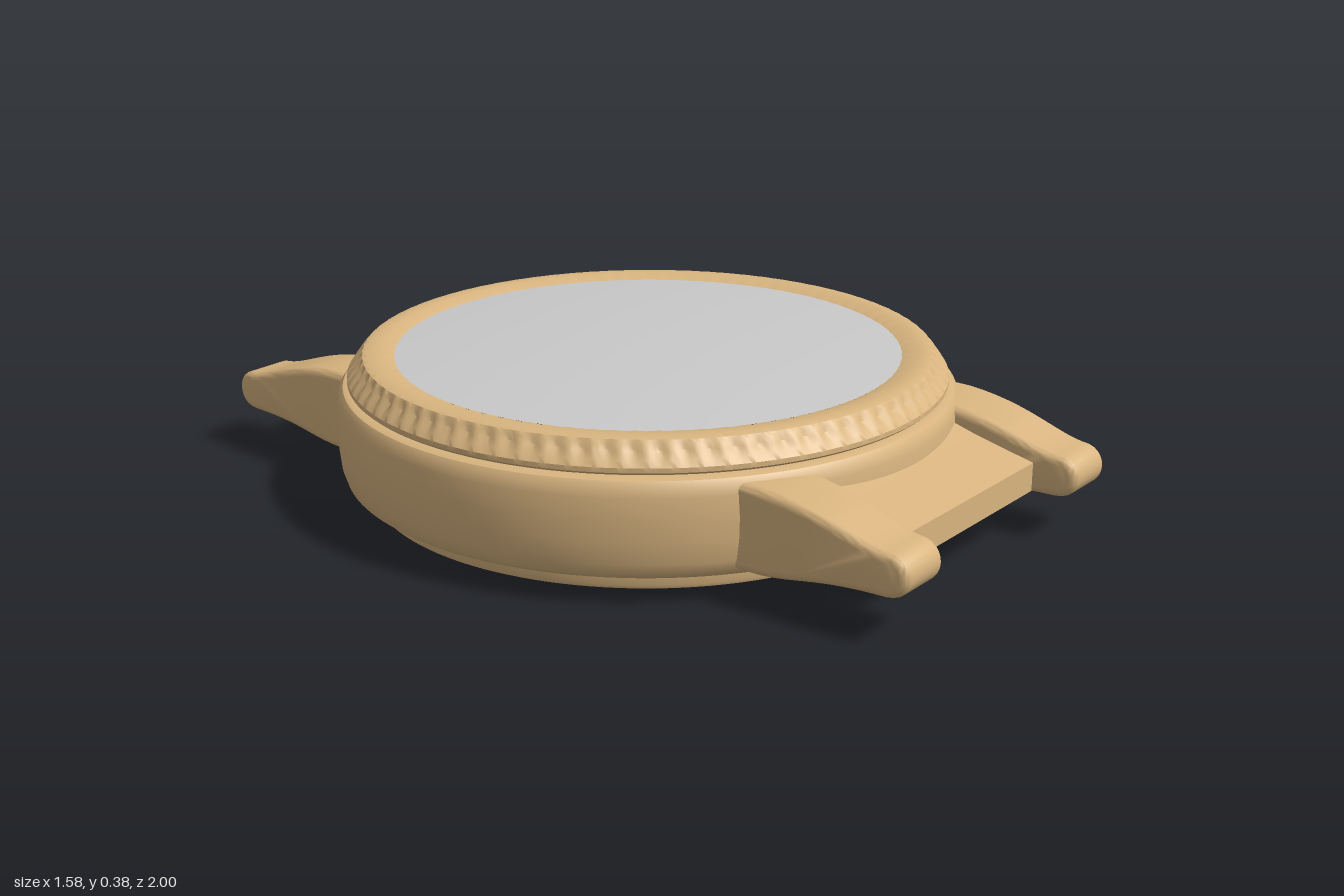
import * as THREE from 'three';
import { toCreasedNormals } from 'three/addons/utils/BufferGeometryUtils.js';

const CX = -0.045; // case axis, shifted to make room for the crown

export function createModel() {
  const gold = new THREE.MeshStandardMaterial({ color: 0xd9b580 });
  gold.name = 'gold';
  const glass = new THREE.MeshStandardMaterial({ color: 0xc9c9c9 });
  glass.name = 'greyGlass';

  const model = new THREE.Group();
  model.name = 'watch';
  const body = new THREE.Group();
  body.name = 'watchBody';
  body.position.x = CX;
  model.add(body);

  const add = (name, geometry, material = gold) => {
    const mesh = new THREE.Mesh(geometry, material);
    mesh.name = name;
    body.add(mesh);
    return mesh;
  };
  const turn = (points, segments = 128) =>
    new THREE.LatheGeometry(points.map(([r, y]) => new THREE.Vector2(r, y)), segments);

  // Case with its stepped back plate and open window rim
  add('case', toCreasedNormals(turn([
    [0.44, 0.03], [0.44, 0.012], [0.66, 0.012], [0.668, 0.016], [0.671, 0.024], [0.671, 0.055],
    [0.695, 0.055], [0.715, 0.06], [0.73, 0.072], [0.739, 0.1], [0.744, 0.15], [0.745, 0.2],
    [0.742, 0.25], [0.737, 0.272], [0.728, 0.284], [0.715, 0.288], [0.70, 0.288], [0.70, 0.3],
  ]), 0.6));

  // Bezel with scalloped grip on its sloping side
  const scallops = 80;
  const bezel = turn([
    [0.69, 0.291], [0.71, 0.291], [0.717, 0.297], [0.717, 0.308], [0.708, 0.322], [0.697, 0.337],
    [0.687, 0.351], [0.68, 0.358], [0.665, 0.361], [0.637, 0.361], [0.604, 0.35],
  ], scallops * 6);
  const p = bezel.attributes.position;
  for (let i = 0; i < p.count; i++) {
    const x = p.getX(i), y = p.getY(i), z = p.getZ(i);
    const strength = Math.max(0, 1 - Math.abs(y - 0.337) / 0.024);
    const wave = 0.5 + 0.5 * Math.cos(Math.atan2(z, x) * scallops);
    const k = 1 - 0.016 * strength * wave;
    p.setXYZ(i, x * k, y, z * k);
  }
  add('bezel', toCreasedNormals(bezel, 0.6));

  // Domed front glass
  const dome = [];
  for (let i = 0; i <= 12; i++) {
    const t = 1 - i / 12;
    dome.push([0.605 * t, 0.375 - 0.024 * t * t]);
  }
  add('frontGlass', turn(dome), glass);

  // Back window and the six studs around it
  const backWindow = add('backWindow', new THREE.CylinderGeometry(0.441, 0.441, 0.006, 96), glass);
  backWindow.position.y = 0.024;
  for (let i = 0; i < 6; i++) {
    const a = Math.PI / 2 + i * Math.PI / 3;
    const stud = add('backStud', new THREE.CylinderGeometry(0.018, 0.014, 0.016, 16));
    stud.position.set(0.56 * Math.cos(a), 0.008, 0.56 * Math.sin(a));
  }

  // Lug: side profile in z and y, extruded across x and tapered to the tip
  const lugShape = new THREE.Shape();
  lugShape.moveTo(0.5, 0.075);
  lugShape.lineTo(0.64, 0.075);
  lugShape.bezierCurveTo(0.74, 0.08, 0.78, 0.105, 0.945, 0.105);
  lugShape.bezierCurveTo(1.018, 0.105, 1.018, 0.205, 0.945, 0.203);
  lugShape.bezierCurveTo(0.87, 0.213, 0.8, 0.262, 0.64, 0.273);
  lugShape.lineTo(0.5, 0.274);
  lugShape.closePath();
  const lugGeo = new THREE.ExtrudeGeometry(lugShape, {
    depth: 0.135, curveSegments: 12, bevelEnabled: true,
    bevelThickness: 0.02, bevelSize: 0.02, bevelOffset: -0.02, bevelSegments: 4,
  });
  lugGeo.translate(0, 0, -0.0675);
  lugGeo.rotateY(-Math.PI / 2);
  const lp = lugGeo.attributes.position;
  for (let i = 0; i < lp.count; i++) {
    const t = THREE.MathUtils.clamp((lp.getZ(i) - 0.6) / 0.4, 0, 1);
    lp.setX(i, lp.getX(i) * (1 - 0.2 * t));
  }
  const lug = toCreasedNormals(lugGeo, 0.7);

  // End link between the lugs, with a sloping top
  const linkShape = new THREE.Shape([
    [0.6, 0.115], [0.9, 0.115], [0.9, 0.183], [0.75, 0.218], [0.68, 0.238], [0.6, 0.25],
  ].map(([z, y]) => new THREE.Vector2(z, y)));
  const link = new THREE.ExtrudeGeometry(linkShape, { depth: 0.536, bevelEnabled: false });
  link.translate(0, 0, -0.268);
  link.rotateY(-Math.PI / 2);

  for (const [end, angle] of [['front', 0], ['back', Math.PI]]) {
    for (const side of [-1, 1]) {
      const mesh = add(end + 'Lug', lug);
      mesh.rotation.y = angle;
      mesh.position.x = side * 0.357;
    }
    add(end + 'EndLink', link).rotation.y = angle;
  }

  // Crown and its stem on the side
  const crown = add('crown', toCreasedNormals(turn([
    [0, 0.66], [0.06, 0.66], [0.06, 0.748], [0.076, 0.748], [0.083, 0.755],
    [0.083, 0.822], [0.08, 0.83], [0.073, 0.835], [0, 0.835],
  ], 48), 0.6));
  crown.rotation.z = -Math.PI / 2;
  crown.position.y = 0.173;

  return model;
}
